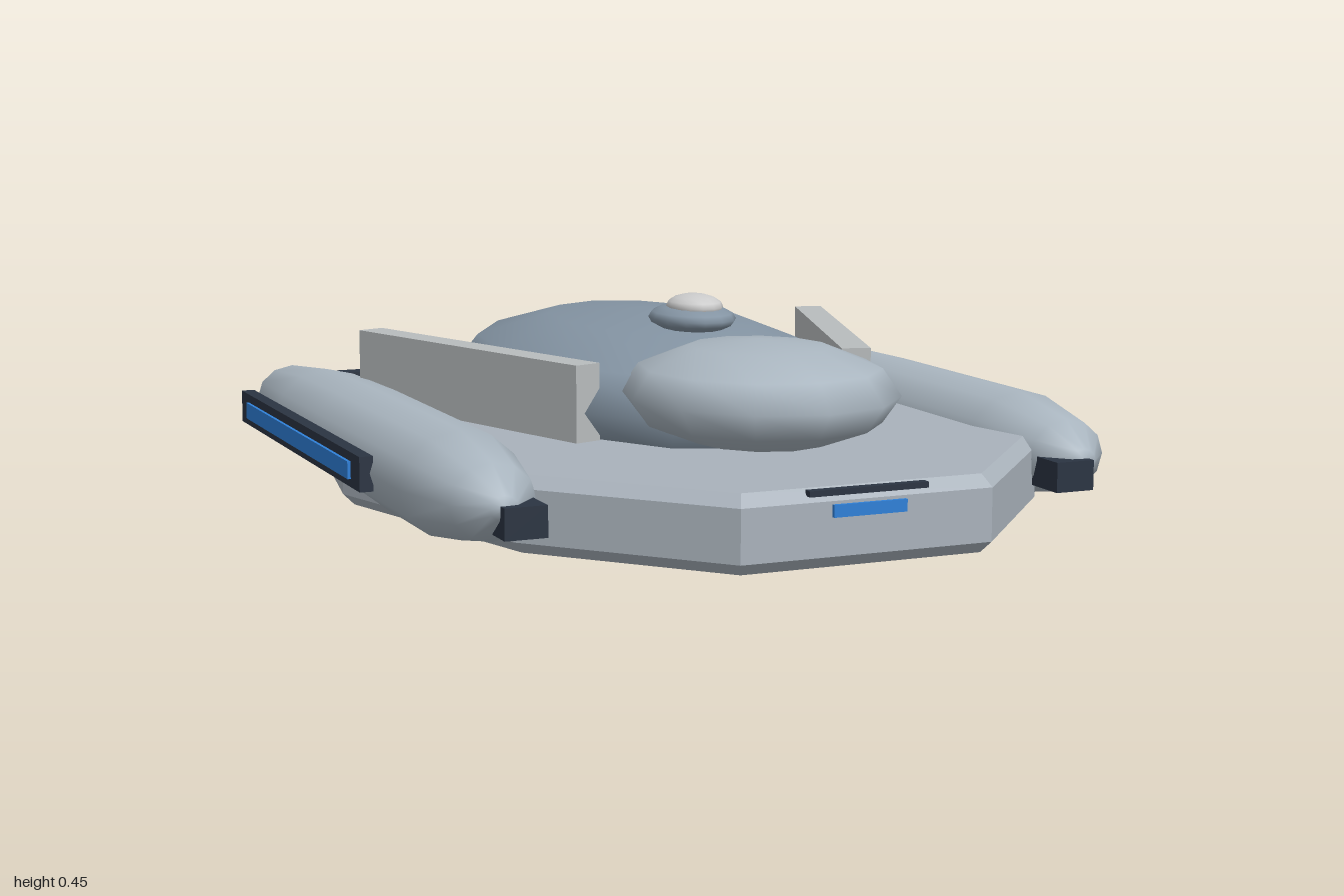
import * as THREE from 'three';

const mat = (color, extra = {}) => {
  const m = new THREE.MeshStandardMaterial(extra);
  m.color.set(color);
  return m;
};

export function createModel() {
  const model = new THREE.Group();
  model.name = 'spaceship';
  const hullGrey = mat(0xa9b2bb, { flatShading: true });
  const paleGrey = mat(0xaab6c0);
  const slate = mat(0x8494a3);
  const stone = mat(0xb8bcbd);
  const light = mat(0xc8cac8);
  const dark = mat(0x2b3442);
  const blue = mat(0x2f80d8);

  const add = (name, geometry, material, x, y, z) => {
    const mesh = new THREE.Mesh(geometry, material);
    mesh.name = name;
    mesh.position.set(x, y, z);
    model.add(mesh);
    return mesh;
  };
  const box = (name, w, h, d, material, x, y, z) =>
    add(name, new THREE.BoxGeometry(w, h, d), material, x, y, z);
  const ellipsoid = (name, rx, ry, rz, material, x, y, z, ws = 12, hs = 6) =>
    add(name, new THREE.SphereGeometry(1, ws, hs).scale(rx, ry, rz), material, x, y, z);

  // Flat hull plate with chamfered rims
  const half = [[0.275, 0.99], [0.6, 0.62], [0.77, 0], [0.61, -0.87], [0.325, -1]];
  const outline = [...half, ...half.map(([x, z]) => [-x, z]).reverse()];
  const shape = new THREE.Shape(outline.map(([x, z]) => new THREE.Vector2(x, -z)));
  const hull = new THREE.ExtrudeGeometry(shape, {
    depth: 0.11, bevelEnabled: true, bevelSegments: 1,
    bevelThickness: 0.025, bevelSize: 0.025, bevelOffset: -0.025,
  });
  hull.rotateX(-Math.PI / 2);
  add('hull', hull, hullGrey, 0, 0.033, 0);

  // Rounded bodies on the deck
  ellipsoid('mainDome', 0.42, 0.165, 0.72, slate, 0, 0.23, -0.1);
  ellipsoid('frontDome', 0.29, 0.115, 0.33, paleGrey, 0, 0.28, 0.49);
  ellipsoid('bridgeBase', 0.092, 0.033, 0.125, slate, 0, 0.4, 0.138, 14, 8);
  ellipsoid('bridgeCap', 0.06, 0.028, 0.08, light, 0, 0.427, 0.152, 14, 8);

  // Nacelle profile: radius against z, from the tail to the nose
  const profile = [[0, -0.94], [0.025, -0.935], [0.088, -0.84], [0.126, -0.52],
    [0.133, -0.2], [0.133, 0.46], [0.092, 0.655], [0.03, 0.725], [0, 0.73]];
  const nacelle = new THREE.LatheGeometry(
    profile.map(([r, z]) => new THREE.Vector2(r, z)), 12);
  nacelle.rotateX(Math.PI / 2).scale(1, 0.86, 1);

  for (const [side, s] of [['left', 1], ['right', -1]]) {
    add(side + 'Nacelle', nacelle, paleGrey, s * 0.655, 0.125, 0);
    box(side + 'LightFrame', 0.03, 0.075, 0.995, dark, s * 0.795, 0.124, -0.2325);
    box(side + 'LightStrip', 0.02, 0.038, 0.86, blue, s * 0.807, 0.123, -0.23);
    box(side + 'NoseBlock', 0.09, 0.065, 0.1, dark, s * 0.62, 0.098, 0.7);
    box(side + 'RearVent', 0.235, 0.02, 0.05, dark, s * 0.463, 0.168, -0.835);

    // Angled deck fin
    const fin = box(side + 'Fin', 0.065, 0.17, 0.79, stone, s * 0.446, 0.25, -0.058);
    fin.rotation.y = -s * 0.325;
  }

  // Bow slot and lamp
  box('bowSlot', 0.26, 0.012, 0.02, dark, 0, 0.16, 0.982);
  box('bowLamp', 0.16, 0.025, 0.02, blue, 0, 0.124, 0.988);
  return model;
}
